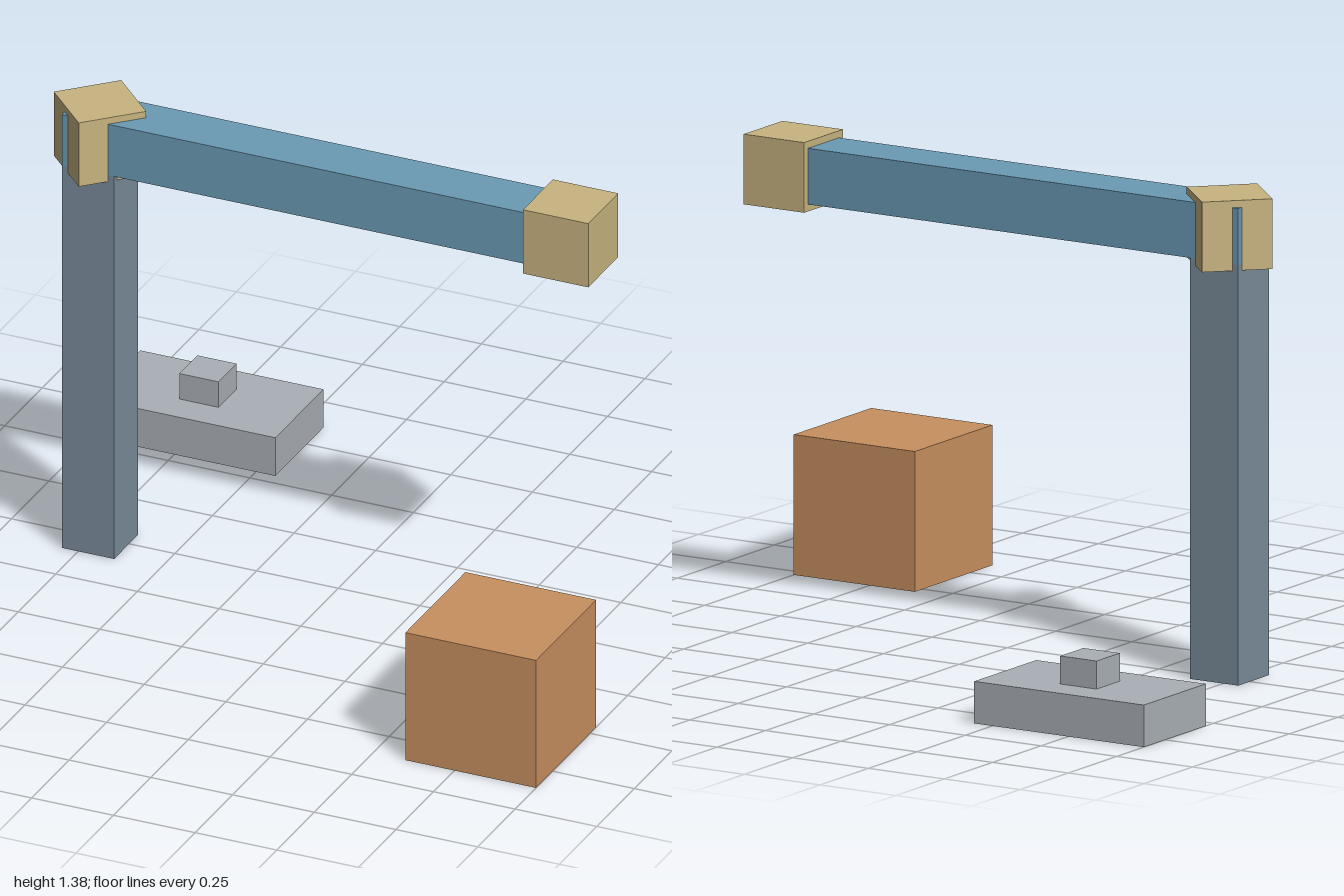
import * as THREE from 'three';

export function createModel() {
  const model = new THREE.Group();
  model.name = 'craneSet';

  const material = (name, color) => {
    const m = new THREE.MeshStandardMaterial({ color });
    m.name = name;
    return m;
  };
  const slate = material('slate', 0x7a8c9a);
  const blue = material('blue', 0x6a9ab4);
  const sand = material('sand', 0xc8b480);
  const grey = material('grey', 0xaab0b6);
  const orange = material('orange', 0xc89060);

  // Box given by its size and the centre of its underside
  const box = (name, mat, [w, h, d], [x, y, z], turn = 0) => {
    const mesh = new THREE.Mesh(new THREE.BoxGeometry(w, h, d), mat);
    mesh.name = name;
    mesh.position.set(x, y + h / 2, z);
    mesh.rotation.y = turn;
    model.add(mesh);
  };

  // Upright post with a horizontal arm
  box('post', slate, [0.16, 1.2, 0.16], [-0.72, 0, 0.02]);
  box('arm', blue, [1.5, 0.16, 0.16], [-0.05, 1.2, 0.02]);

  // Blocks at the two ends of the arm, the one over the post turned 45 degrees
  box('pivotBlock', sand, [0.2, 0.2, 0.2], [-0.72, 1.18, 0.02], Math.PI / 4);
  box('endBlock', sand, [0.2, 0.2, 0.2], [0.72, 1.18, 0.02]);

  // Pedestal with a push button behind the post
  box('pedestal', grey, [0.56, 0.12, 0.32], [-0.72, 0, -0.7]);
  box('button', grey, [0.12, 0.08, 0.12], [-0.72, 0.12, -0.7]);

  // Crate on the ground in front
  box('crate', orange, [0.4, 0.4, 0.4], [0.8, 0, 0.66]);

  return model;
}
